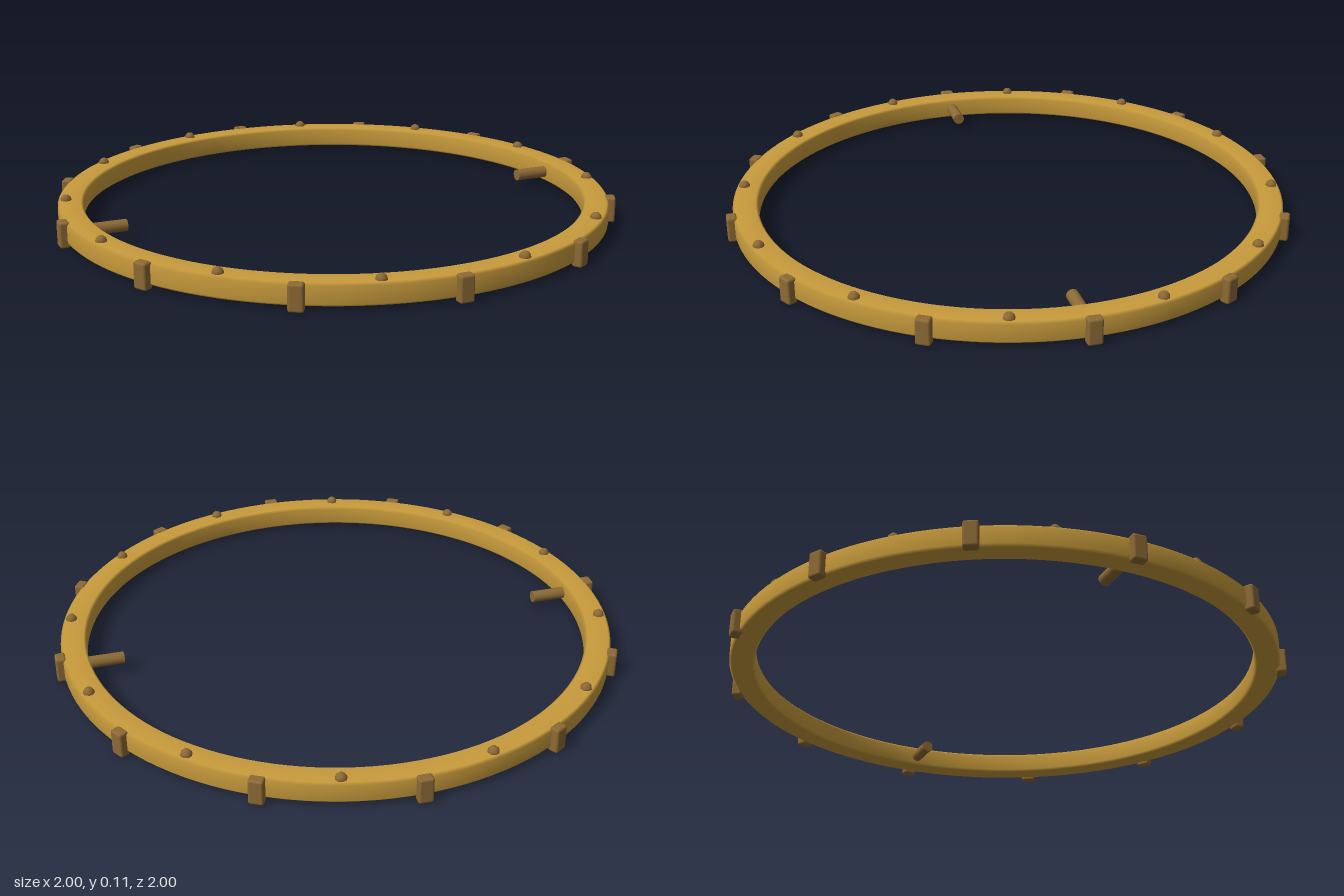
import * as THREE from 'three';
import { RoundedBoxGeometry } from 'three/addons/geometries/RoundedBoxGeometry.js';

export function createModel() {
  const model = new THREE.Group();
  model.name = 'studdedRing';

  const brass = new THREE.MeshStandardMaterial({ color: 0xc89b3c });
  brass.name = 'brass';
  const bronze = new THREE.MeshStandardMaterial({ color: 0x8c6a35 });
  bronze.name = 'bronze';

  const add = (name, geometry, material, x, y, z) => {
    const mesh = new THREE.Mesh(geometry, material);
    mesh.name = name;
    mesh.position.set(x, y, z);
    model.add(mesh);
    return mesh;
  };

  // Ring: softly bevelled rectangular section, turned around y
  const inner = 0.887, outer = 0.975, low = 0.012, high = 0.086, b = 0.008;
  const section = [
    [(inner + outer) / 2, low], [outer - b, low], [outer, low + b],
    [outer, high - b], [outer - b, high], [inner + b, high],
    [inner, high - b], [inner, low + b], [inner + b, low], [(inner + outer) / 2, low],
  ].map(([r, y]) => new THREE.Vector2(r, y));
  add('ring', new THREE.LatheGeometry(section, 128), brass, 0, 0, 0);

  // Twelve clasps on the rim, with twelve studs on top between them
  const claspGeometry = new RoundedBoxGeometry(0.05, 0.09, 0.036, 2, 0.008);
  const studGeometry = new THREE.SphereGeometry(0.02, 8, 6);
  for (let i = 0; i < 12; i++) {
    const a = (i * Math.PI) / 6;
    const clasp = add('clasp', claspGeometry, bronze, Math.sin(a) * 0.982, 0.045, Math.cos(a) * 0.982);
    clasp.rotation.y = a;
    const s = a + Math.PI / 12;
    add('stud', studGeometry, bronze, Math.sin(s) * 0.947, high, Math.cos(s) * 0.947);
  }

  // Two pivot pins pointing inwards
  const pinGeometry = new THREE.CylinderGeometry(0.021, 0.021, 0.15, 16).rotateZ(Math.PI / 2);
  for (const side of [-1, 1]) {
    add(side > 0 ? 'leftPin' : 'rightPin', pinGeometry, bronze, side * 0.84, 0.048, 0);
  }

  return model;
}
